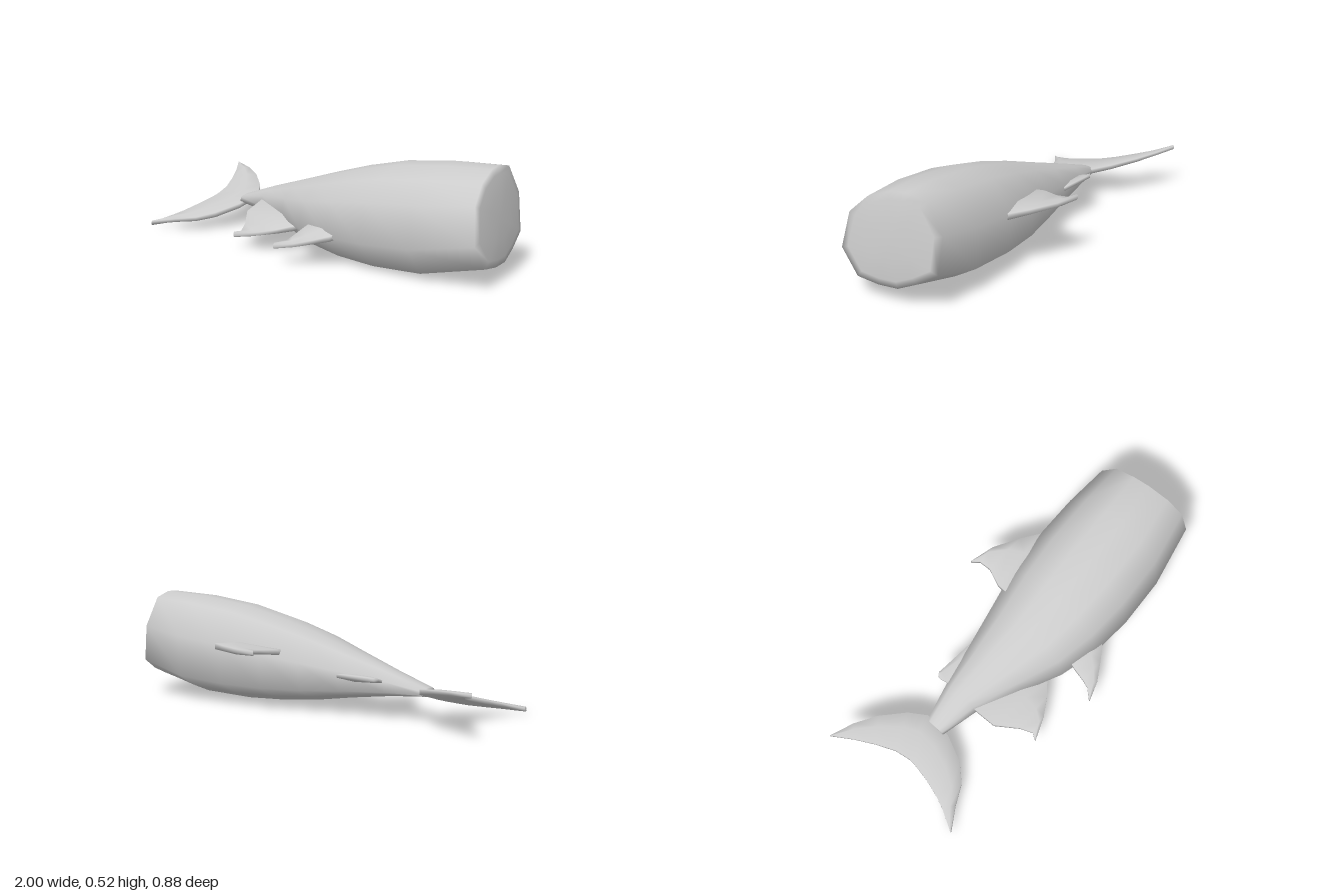
import * as THREE from 'three';

const material = new THREE.MeshStandardMaterial({ color: 0xcccccc });

// Skins a list of equal-length closed rings, closes both ends and faces outward
function loft(name, rings) {
  const n = rings[0].length;
  const points = rings.flat();
  const index = [];
  for (let r = 0; r < rings.length - 1; r++) {
    for (let i = 0; i < n; i++) {
      const a = r * n + i, b = r * n + (i + 1) % n;
      index.push(a, b, a + n, b, b + n, a + n);
    }
  }
  [0, rings.length - 1].forEach((r, end) => {
    const centre = new THREE.Vector3();
    rings[r].forEach((p) => centre.addScaledVector(p, 1 / n));
    const c = points.push(centre) - 1;
    for (let i = 0; i < n; i++) {
      const a = r * n + i, b = r * n + (i + 1) % n;
      index.push(...(end ? [a, b, c] : [b, a, c]));
    }
  });
  // A negative volume means the surface is inside out
  let volume = 0;
  const cross = new THREE.Vector3();
  for (let i = 0; i < index.length; i += 3) {
    cross.crossVectors(points[index[i + 1]], points[index[i + 2]]);
    volume += points[index[i]].dot(cross);
  }
  if (volume < 0) index.reverse();

  const geometry = new THREE.BufferGeometry().setFromPoints(points);
  geometry.setIndex(index);
  geometry.computeVertexNormals();
  const mesh = new THREE.Mesh(geometry, material);
  mesh.name = name;
  return mesh;
}

// Body cross-section (z, y) in the unit square
const SECTION = [
  [1, -0.38], [0.87, 0.4], [0.52, 0.78], [0.09, 0.97], [-0.24, 1], [-0.65, 0.9],
  [-1, 0.27], [-0.95, -0.55], [-0.55, -0.82], [-0.17, -1], [0.22, -1], [0.65, -0.92],
];

// Body stations: x, bottom, top, back z, front z
const STATIONS = [
  [-0.62, 0.12, 0.165, -0.09, 0.015],
  [-0.43, 0.105, 0.232, -0.135, 0.06],
  [-0.2, 0.07, 0.305, -0.18, 0.16],
  [0, 0.035, 0.37, -0.222, 0.25],
  [0.2, 0.013, 0.43, -0.265, 0.298],
  [0.42, 0.003, 0.482, -0.288, 0.313],
  [0.68, 0.013, 0.514, -0.29, 0.297],
];

function bodyRing(y0, y1, z0, z1, scale, xAt) {
  return SECTION.map(([u, v]) => {
    const y = (y0 + y1) / 2 + v * scale * (y1 - y0) / 2;
    const z = (z0 + z1) / 2 + u * scale * (z1 - z0) / 2;
    return new THREE.Vector3(xAt(y, z), y, z);
  });
}

function makeBody() {
  const rings = STATIONS.map(([x, y0, y1, z0, z1]) => bodyRing(y0, y1, z0, z1, 1, () => x));
  // Blunt, slanted face at the head with a slight bulge
  for (const [scale, bulge] of [[1, 0], [0.85, 0.008], [0.45, 0.016]]) {
    rings.push(bodyRing(0.085, 0.525, -0.27, 0.23, scale,
      (y, z) => 0.95 + 0.15 * z - 0.12 * (y - 0.3) + bulge));
  }
  return loft('body', rings);
}

// Fin rows: leading x, z, trailing x, z, half thickness.
// The fin lies in the tilted plane y = height - slope * z.
function makeFin(name, height, slope, rows) {
  const rings = rows.map(([lx, lz, tx, tz, t]) =>
    [[0, 0.5], [0.4, 1], [1, 0.4], [1, -0.4], [0.4, -1], [0, -0.5]].map(([k, h]) => {
      const z = lz + (tz - lz) * k;
      return new THREE.Vector3(lx + (tx - lx) * k, height - slope * z + h * t, z);
    }));
  return loft(name, rings);
}

export function createModel() {
  const model = new THREE.Group();
  model.name = 'fish';
  model.add(
    makeBody(),
    makeFin('dorsalFin', 0.265, 0.12, [
      [0.5, -0.22, 0.1, -0.18, 0.034],
      [0.45, -0.285, 0.1, -0.26, 0.03],
      [0.36, -0.345, 0.135, -0.35, 0.024],
      [0.23, -0.415, 0.13, -0.41, 0.018],
      [0.1, -0.445, 0.105, -0.433, 0.014],
    ]),
    makeFin('secondDorsalFin', 0.15, 0.27, [
      [-0.18, -0.12, -0.42, -0.08, 0.022],
      [-0.2, -0.185, -0.42, -0.14, 0.018],
      [-0.38, -0.197, -0.43, -0.17, 0.014],
      [-0.41, -0.2, -0.43, -0.187, 0.012],
    ]),
    makeFin('frontBellyFin', 0.265, 0.4, [
      [0.3, 0.24, 0.08, 0.2, 0.028],
      [0.24, 0.31, 0.06, 0.28, 0.025],
      [0.18, 0.35, 0.05, 0.35, 0.02],
      [0.1, 0.4, 0.04, 0.385, 0.016],
      [0, 0.435, 0.005, 0.425, 0.014],
    ]),
    makeFin('rearBellyFin', 0.183, 0.3, [
      [0, 0.15, -0.43, 0.05, 0.028],
      [-0.07, 0.215, -0.42, 0.17, 0.025],
      [-0.13, 0.265, -0.34, 0.27, 0.02],
      [-0.21, 0.315, -0.31, 0.33, 0.016],
      [-0.33, 0.365, -0.325, 0.353, 0.014],
    ]),
    // Crescent tail, from the lower lobe tip to the upper lobe tip
    makeFin('tailFin', 0.122, 0.27, [
      [-0.94, 0.355, -0.935, 0.343, 0.012],
      [-0.83, 0.285, -0.885, 0.25, 0.016],
      [-0.73, 0.235, -0.86, 0.19, 0.02],
      [-0.66, 0.16, -0.835, 0.1, 0.024],
      [-0.605, 0.035, -0.82, 0.01, 0.024],
      [-0.6, -0.1, -0.82, -0.03, 0.024],
      [-0.66, -0.18, -0.835, -0.1, 0.022],
      [-0.77, -0.27, -0.88, -0.19, 0.018],
      [-0.88, -0.33, -0.935, -0.28, 0.015],
      [-1, -0.37, -0.993, -0.358, 0.012],
    ]),
  );
  return model;
}
